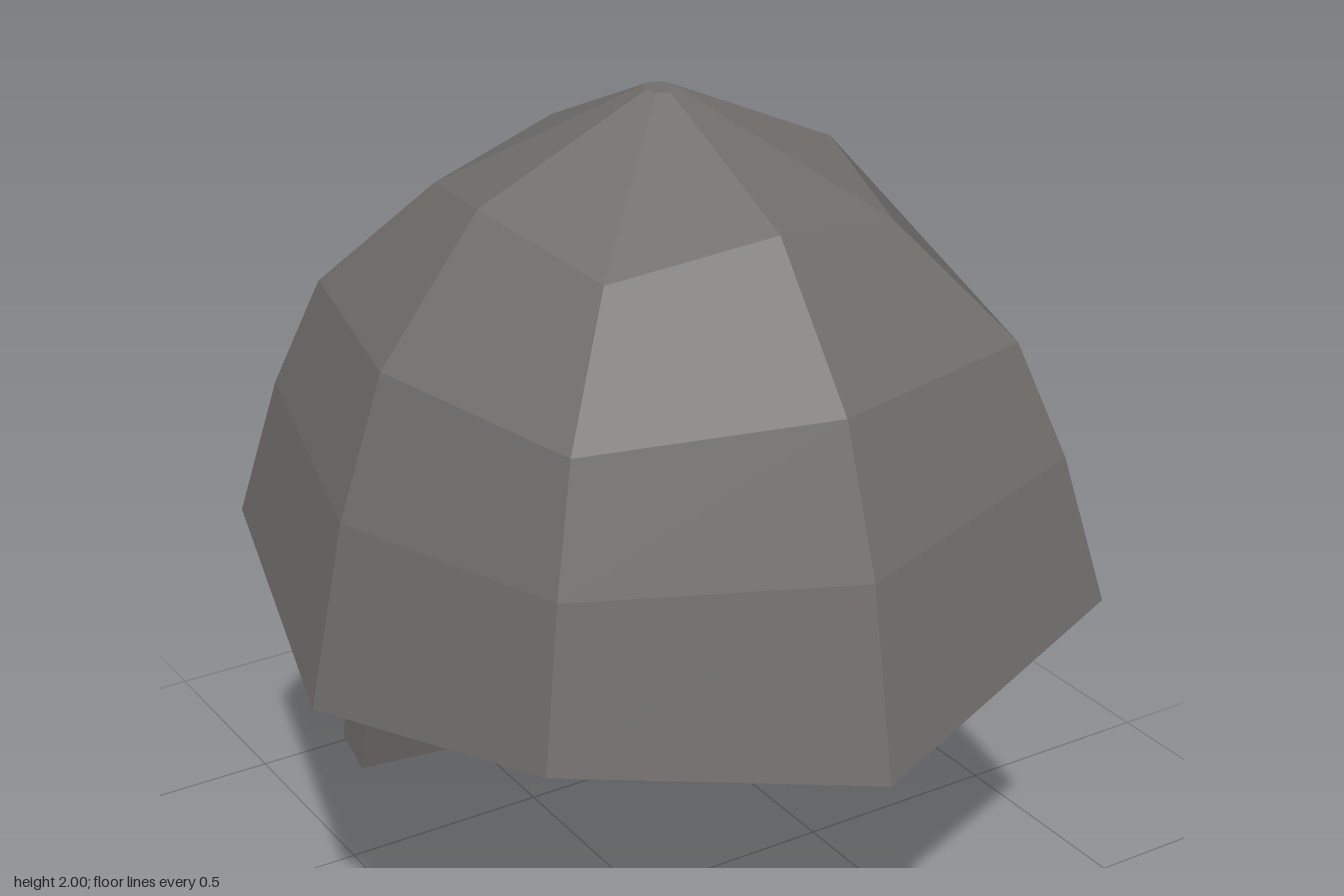
import * as THREE from 'three';

const CZ = 0.08; // dome axis

// Collect flat polygons, each with one shared normal
class Faces {
  constructor() {
    this.pos = [];
    this.nor = [];
  }
  add(...points) {
    const v = points.map(p => new THREE.Vector3(...p));
    const last = v[v.length - 1];
    const n = v[2].clone().sub(v[0]).cross(last.clone().sub(v[1])).normalize();
    for (let i = 1; i < v.length - 1; i++) {
      for (const p of [v[0], v[i], v[i + 1]]) {
        this.pos.push(p.x, p.y, p.z);
        this.nor.push(n.x, n.y, n.z);
      }
    }
  }
  // The same polygon on both sides of the middle plane
  addPair(...points) {
    this.add(...points);
    this.add(...points.map(([x, y, z]) => [-x, y, z]).reverse());
  }
  geometry() {
    const g = new THREE.BufferGeometry();
    g.setAttribute('position', new THREE.Float32BufferAttribute(this.pos, 3));
    g.setAttribute('normal', new THREE.Float32BufferAttribute(this.nor, 3));
    return g;
  }
}

// Eight-point ring, counter-clockwise from above: sides, front and back on the axes, corners between
function ring(side, front, corner, ySide, yCorner, yFront = ySide) {
  return [
    [side, ySide, CZ], [corner, yCorner, CZ - corner],
    [0, yFront, CZ - front], [-corner, yCorner, CZ - corner],
    [-side, ySide, CZ], [-corner, yCorner, CZ + corner],
    [0, yFront, CZ + front], [corner, yCorner, CZ + corner],
  ];
}

export function createModel() {
  const group = new THREE.Group();
  const material = new THREE.MeshStandardMaterial({ color: 0x716e6c, side: THREE.DoubleSide });
  const addMesh = (name, faces) => {
    const mesh = new THREE.Mesh(faces.geometry(), material);
    mesh.name = name;
    group.add(mesh);
  };

  // Dome, with a lower edge that dips at front, back and sides
  const rings = [
    ring(0.85, 0.87, 0.685, 0.80, 0.935, 0.79),
    ring(0.765, 0.79, 0.615, 1.21, 1.26),
    ring(0.66, 0.68, 0.535, 1.52, 1.51),
    ring(0.43, 0.44, 0.345, 1.82, 1.755),
    ring(0.035, 0.04, 0.028, 2, 2),
  ];
  const dome = new Faces();
  for (let j = 0; j < rings.length - 1; j++) {
    for (let i = 0; i < 8; i++) {
      const k = (i + 1) % 8;
      dome.add(rings[j][i], rings[j][k], rings[j + 1][k], rings[j + 1][i]);
    }
  }
  dome.add(...rings[4]);
  addMesh('dome', dome);

  // Corner points shared by the underside and the neck guard
  const [side, backCorner, back] = rings[0];
  const front = rings[0][6], frontCorner = rings[0][7];
  const topOuter = [0.35, 0.864, -0.696], topInner = [0.355, 0.835, -0.58];
  const topInnerMid = [0, 0.757, -0.655];
  const endOuter = [0.342, 0.105, -0.86], endOuterMid = [0, 0.03, -0.95];
  const endInner = [0.357, 0.08, -0.73], endInnerMid = [0, 0, -0.81];

  // Hollow underside, rising to a shallow point
  const apex = [0, 1.16, CZ];
  const edge = [front, frontCorner, side, topInner, topInnerMid];
  const underside = new Faces();
  for (let i = 0; i < edge.length - 1; i++) underside.addPair(edge[i + 1], edge[i], apex);
  addMesh('underside', underside);

  // Thick rear rim between the sides and the guard
  const rim = new Faces();
  rim.addPair(topInner, topOuter, backCorner);
  rim.addPair(topInner, backCorner, side);
  addMesh('rearRim', rim);

  // Neck guard continuing the back wall downwards
  const guard = new Faces();
  guard.addPair(endOuter, endOuterMid, back, topOuter);
  guard.addPair(endInnerMid, endInner, topInner, topInnerMid);
  guard.addPair(endInner, endOuter, topOuter, topInner);
  guard.addPair(endInnerMid, endOuterMid, endOuter, endInner);
  addMesh('neckGuard', guard);

  return group;
}
